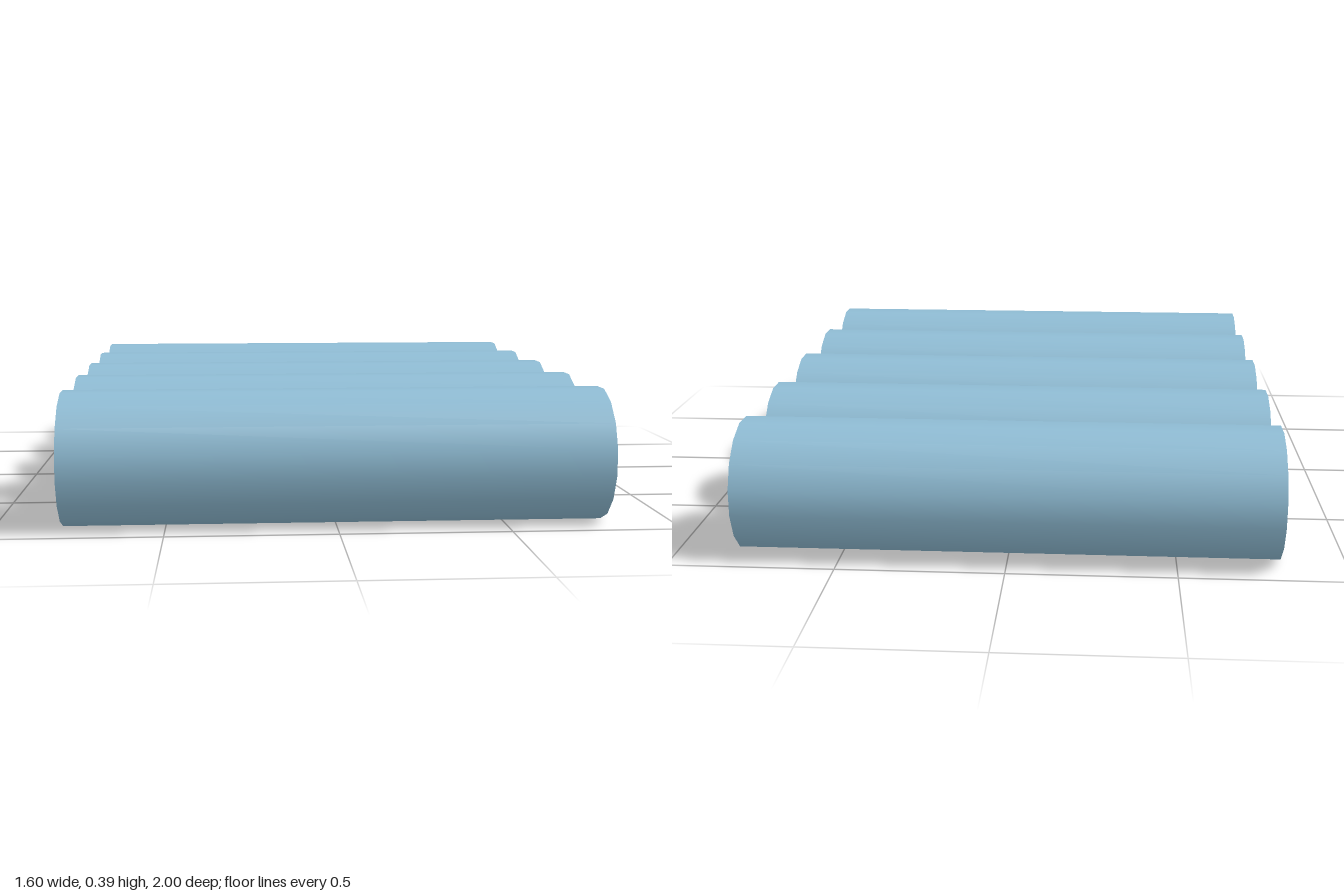
import * as THREE from 'three';

const COUNT = 5, SIDES = 16, RADIUS = 0.2, LENGTH = 1.6, SPACING = 0.402;
const CORE_RADIUS = 0.136;

export function createModel() {
  const blue = new THREE.MeshStandardMaterial({ color: 0x8fbcd4 });
  blue.name = 'blue casing';
  const beige = new THREE.MeshStandardMaterial({ color: 0xd8c6ba });
  beige.name = 'beige core';

  const apothem = RADIUS * Math.cos(Math.PI / SIDES);

  // Casing lies along x, turned half a side so that it rests on a flat
  const casingGeometry = new THREE.CylinderGeometry(RADIUS, RADIUS, LENGTH, SIDES, 1, false, Math.PI / SIDES);
  casingGeometry.rotateZ(Math.PI / 2);
  const coreGeometry = new THREE.CircleGeometry(CORE_RADIUS, 32);

  const model = new THREE.Group();
  model.name = 'rollRow';

  for (let i = 0; i < COUNT; i++) {
    const roll = new THREE.Group();
    roll.name = `roll${i + 1}`;
    roll.position.set(0, apothem, (i - (COUNT - 1) / 2) * SPACING);

    const casing = new THREE.Mesh(casingGeometry, blue);
    casing.name = 'casing';
    roll.add(casing);

    // Core disc on each end
    for (const side of [-1, 1]) {
      const core = new THREE.Mesh(coreGeometry, beige);
      core.name = side > 0 ? 'leftCore' : 'rightCore';
      core.rotation.y = side * Math.PI / 2;
      core.position.x = side * (LENGTH / 2 + 0.002);
      roll.add(core);
    }
    model.add(roll);
  }
  return model;
}
